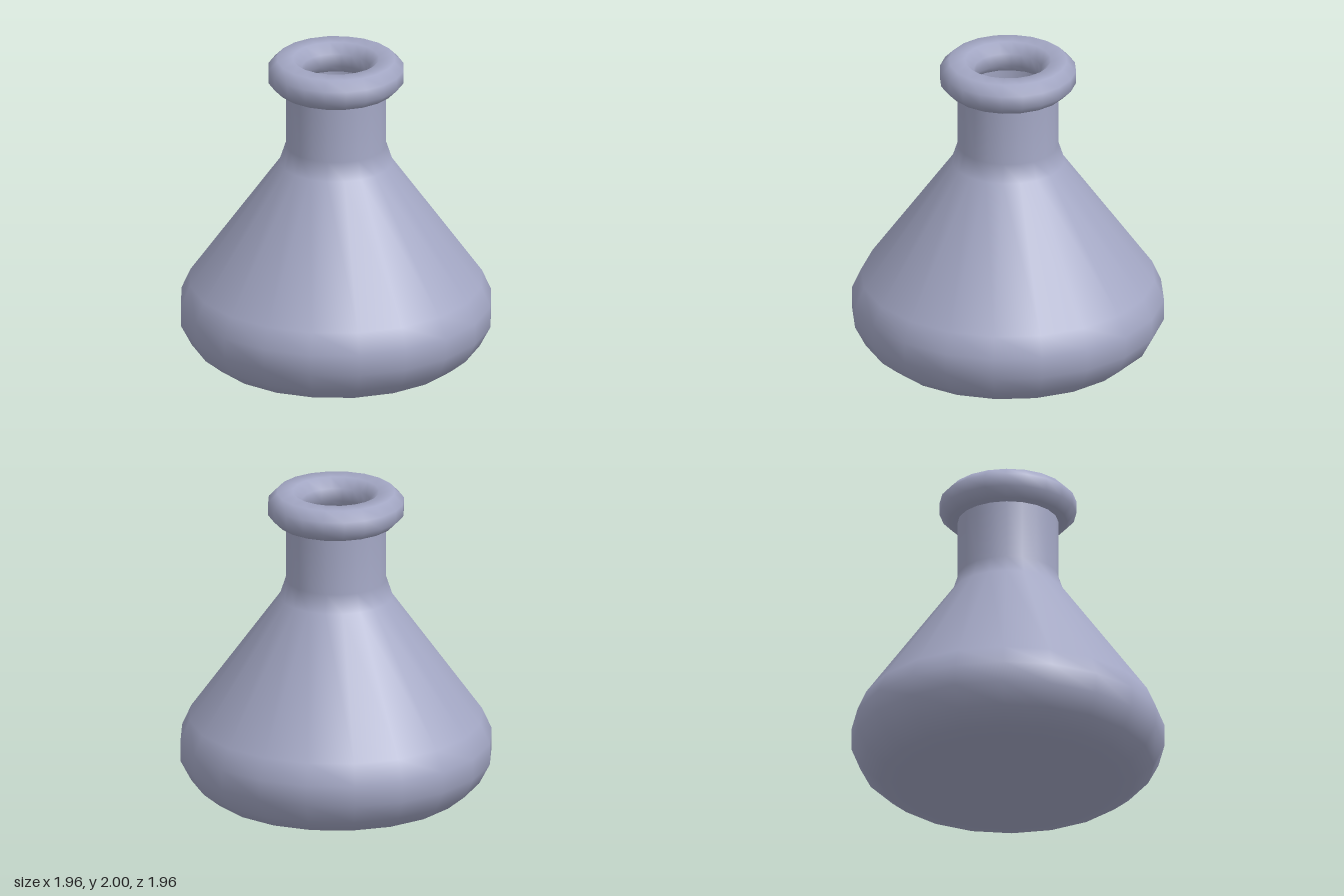
import * as THREE from 'three';

const SIDES = 20;

// Spins an [radius, height] profile around the vertical axis
function turned(name, profile, material) {
  const points = profile.map(([r, y]) => new THREE.Vector2(r, y));
  const mesh = new THREE.Mesh(new THREE.LatheGeometry(points, SIDES), material);
  mesh.name = name;
  return mesh;
}

export function createModel() {
  const glass = new THREE.MeshStandardMaterial({ color: 0xa3a7c4 });
  glass.name = 'blue grey glass';
  const teal = new THREE.MeshStandardMaterial({ color: 0x80d0d0 });
  teal.name = 'teal liquid';

  const flask = new THREE.Group();
  flask.name = 'flask';

  // Outer wall: flat base, rounded belly, sloping shoulder, straight neck
  flask.add(turned('outerWall', [
    [0, 0], [0.64, 0.005], [0.8, 0.035], [0.91, 0.125], [0.978, 0.255],
    [0.978, 0.39], [0.92, 0.52], [0.353, 1.31], [0.315, 1.425], [0.315, 1.84],
  ], glass));

  // Inner wall, running downward so that it faces the axis
  flask.add(turned('innerWall', [
    [0.27, 1.9], [0.27, 1.43], [0.31, 1.29], [0.87, 0.5],
    [0.93, 0.37], [0.93, 0.27], [0.86, 0.15], [0.64, 0.05], [0, 0.05],
  ], glass));

  // Rounded lip around the mouth
  flask.add(turned('lip', [
    [0.27, 1.802], [0.37, 1.802], [0.427, 1.86], [0.427, 1.942], [0.37, 2],
    [0.27, 2], [0.212, 1.942], [0.212, 1.86], [0.27, 1.802],
  ], glass));

  // Liquid body and its flat surface
  flask.add(turned('liquid', [
    [0, 0.06], [0.62, 0.06], [0.84, 0.16], [0.91, 0.28], [0.91, 0.37],
    [0.85, 0.5], [0.78, 0.6],
  ], teal));
  const surface = new THREE.Mesh(new THREE.CircleGeometry(0.78, SIDES), teal);
  surface.name = 'liquidSurface';
  surface.rotation.x = -Math.PI / 2;
  surface.position.y = 0.6;
  flask.add(surface);

  return flask;
}
